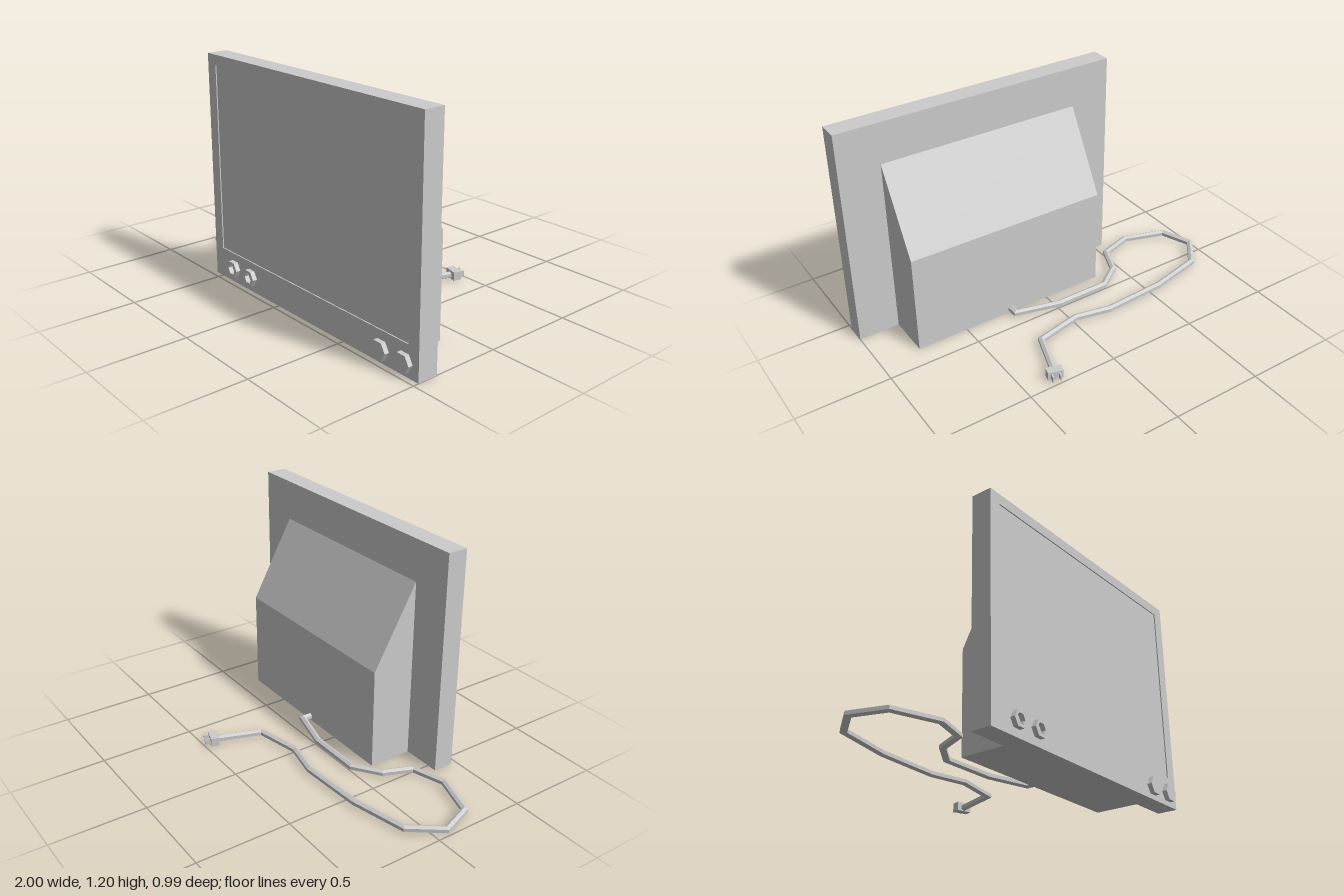
import * as THREE from 'three';

const material = new THREE.MeshStandardMaterial({ color: 0xcccccc, flatShading: true });

function add(parent, name, geometry, x = 0, y = 0, z = 0) {
  const mesh = new THREE.Mesh(geometry, material);
  mesh.name = name;
  mesh.position.set(x, y, z);
  parent.add(mesh);
}

function extrude(points, depth, hole) {
  const shape = new THREE.Shape(points.map(([x, y]) => new THREE.Vector2(x, y)));
  if (hole) shape.holes.push(new THREE.Path(hole.map(([x, y]) => new THREE.Vector2(x, y))));
  return new THREE.ExtrudeGeometry(shape, { depth, bevelEnabled: false });
}

const rect = (x0, y0, x1, y1) => [[x0, y0], [x1, y0], [x1, y1], [x0, y1]];

const hexagon = (r) => Array.from({ length: 6 }, (_, i) => [
  r * Math.cos(i * Math.PI / 3), r * Math.sin(i * Math.PI / 3),
]);

// Sweeps a hexagonal section along a flat path of [x, z] points with mitred corners
function cableGeometry(path, y, radius, sides = 6) {
  const pts = path.map(([x, z]) => new THREE.Vector2(x, z));
  const positions = [], index = [];
  pts.forEach((p, i) => {
    const before = p.clone().sub(pts[Math.max(i - 1, 0)]).normalize();
    const after = pts[Math.min(i + 1, pts.length - 1)].clone().sub(p).normalize();
    const t = before.clone().add(after).normalize();
    const miter = radius / Math.max(0.5, t.dot(i ? before : after));
    for (let k = 0; k < sides; k++) {
      const a = (k + 0.5) / sides * Math.PI * 2;
      const side = Math.cos(a) * miter;
      positions.push(p.x - t.y * side, y + Math.sin(a) * radius, p.y + t.x * side);
      if (i) {
        const n = (k + 1) % sides, q = (i - 1) * sides, r = i * sides;
        index.push(q + k, r + k, q + n, q + n, r + k, r + n);
      }
    }
  });
  const geometry = new THREE.BufferGeometry();
  geometry.setAttribute('position', new THREE.Float32BufferAttribute(positions, 3));
  geometry.setIndex(index);
  const flat = geometry.toNonIndexed();
  flat.computeVertexNormals();
  return flat;
}

export function createModel() {
  const model = new THREE.Group();
  model.name = 'monitor';

  // Front panel: slab, raised bezel and the slightly sunken screen
  const recess = 0.006;
  add(model, 'panel', new THREE.BoxGeometry(1.555, 1.195, 0.11 - recess), 0.2225, 0.5975, 0.415 - recess / 2);
  add(model, 'bezel', extrude(rect(-0.555, 0, 1, 1.195), recess,
    rect(-0.49, 0.16, 0.935, 1.14).reverse()), 0, 0, 0.47 - recess);

  // Rear housing with a sloping top
  const housing = extrude([[-0.36, 0], [-0.12, 0], [-0.12, 0.545], [-0.36, 0.975]], 1.115);
  housing.rotateY(Math.PI / 2);
  add(model, 'rearHousing', housing, -0.335, 0, 0);

  // Hollow sockets on one side, solid knobs on the other
  for (const x of [-0.378, -0.228]) {
    add(model, 'socket', extrude(hexagon(0.045), 0.026, hexagon(0.029).reverse()), x, 0.08, 0.469);
  }
  for (const x of [0.763, 0.913]) {
    add(model, 'knob', extrude(hexagon(0.05), 0.026), x, 0.07, 0.469);
  }

  // Power cable lying on the ground
  const path = [
    [0.227, 0.14], [0.227, 0.07], [-0.01, 0.008], [-0.31, 0.008], [-0.445, 0.104],
    [-0.508, 0.253], [-0.685, 0.307], [-0.915, 0.232], [-0.98, 0.06], [-0.86, -0.095],
    [-0.56, -0.163], [-0.21, -0.183], [-0.013, -0.141], [0.237, -0.193], [0.32, -0.43],
  ];
  add(model, 'powerCable', cableGeometry(path, 0.023, 0.018));

  // Plug with two flat prongs
  const plug = new THREE.Group();
  plug.name = 'plug';
  plug.position.set(0.325, 0.027, -0.443);
  plug.rotation.y = -0.28;
  add(plug, 'plugBody', new THREE.BoxGeometry(0.08, 0.046, 0.044));
  for (const x of [-0.02, 0.02]) {
    add(plug, 'prong', new THREE.BoxGeometry(0.008, 0.032, 0.034), x, 0, -0.032);
  }
  model.add(plug);

  return model;
}
